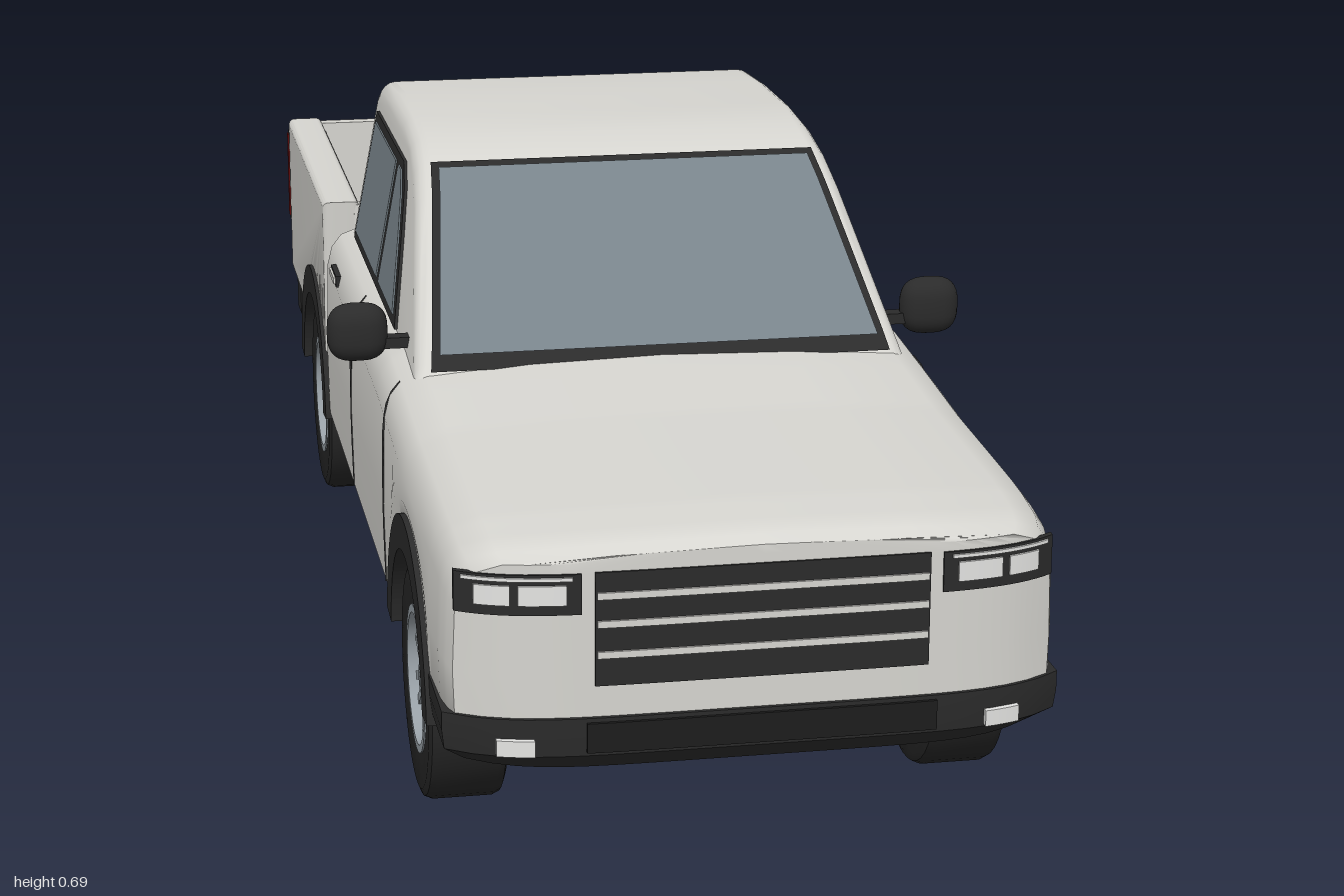
import * as THREE from 'three';
import { toCreasedNormals } from 'three/addons/utils/BufferGeometryUtils.js';

const mat = (name, color, side = THREE.FrontSide) =>
  Object.assign(new THREE.MeshStandardMaterial({ color, side }), { name });
const paint = mat('paint', 0xd6d5d0, THREE.DoubleSide);
const trim = mat('blackTrim', 0x2b2b2b);
const rubber = mat('rubber', 0x262626);
const under = mat('underbody', 0x1c1c1c);
const glass = mat('glass', 0x78838a, THREE.DoubleSide);
const steel = mat('steel', 0x98a0a6);
const lamp = mat('lampWhite', 0xe4e4e2);
const red = mat('tailRed', 0x8c1616);

const AXLES = [0.655, -0.55], HUB_Y = 0.145, ARCH_R = 0.19;
const V = (pts) => pts.map(([x, y]) => new THREE.Vector2(x, y));

function lerpTable(table, t) {
  for (let i = 1; i < table.length; i++) {
    const [a, u] = table[i - 1], [b, v] = table[i];
    if (t <= b) return u + (v - u) * Math.max(0, (t - a) / (b - a));
  }
  return table[table.length - 1][1];
}

// Moves every vertex of a geometry by a rule
function warp(geo, rule) {
  const p = geo.attributes.position, v = new THREE.Vector3();
  for (let i = 0; i < p.count; i++) {
    rule(v.fromBufferAttribute(p, i));
    p.setXYZ(i, v.x, v.y, v.z);
  }
  geo.computeVertexNormals();
  return geo;
}

// Skin over rows of points
function grid(rows, flip = false) {
  const n = rows[0].length, idx = [];
  for (let i = 0; i < rows.length - 1; i++) for (let j = 0; j < n - 1; j++) {
    const a = i * n + j, b = a + 1, d = a + n, c = d + 1;
    idx.push(...(flip ? [a, d, b, b, d, c] : [a, b, d, b, c, d]));
  }
  const g = new THREE.BufferGeometry();
  g.setAttribute('position', new THREE.Float32BufferAttribute(rows.flat(2), 3));
  g.setIndex(idx);
  return toCreasedNormals(g, 0.7);
}

// Side-view shape (z, y) extruded from x0 to x1
function sideExtrude(shape, x0, x1, bevel = 0) {
  const g = new THREE.ExtrudeGeometry(shape, {
    depth: x1 - x0 - 2 * bevel, bevelEnabled: bevel > 0, bevelSize: bevel, bevelThickness: bevel,
    bevelOffset: -bevel, bevelSegments: 4, curveSegments: 28,
  });
  return g.rotateY(-Math.PI / 2).translate(x1 - bevel, 0, 0);
}

const noseDrop = (x) => 0.05 * Math.pow(Math.min(1, Math.abs(x) / 0.355), 6);
const hoodTop = (z) => lerpTable([[-0.36, 0.46], [0.3, 0.46], [0.45, 0.45], [0.6, 0.438],
  [0.9, 0.427], [0.97, 0.42], [0.99, 0.414], [1, 0.405]], z);
const cabHalf = (y) => 0.315 - 0.19 * (y - 0.45);

// Half cross-section of the lower body at z, from the bottom centre up
function halfSection(z) {
  const dz = z - AXLES[0];
  const arch = Math.abs(dz) < ARCH_R ? HUB_Y + Math.sqrt(ARCH_R ** 2 - dz * dz) : 0;
  const B = Math.max(z > 0.84 ? 0.2 : 0.165, arch), T = hoodTop(z);
  const k = lerpTable([[0.85, 1], [0.96, 0.993], [0.99, 0.98], [1, 0.965]], z);
  return [[0, B], [0.345, B], [0.354, B + 0.01], [0.356, (B + T - 0.06) / 2], [0.353, T - 0.06],
    [0.346, T - 0.032], [0.332, T - 0.014], [0.3, T - 0.002], [0.17, T + 0.006], [0, T + 0.009]]
    .map(([x, y]) => [x * k, y]);
}

function bodyGeometries() {
  const N = 120, rows = [];
  const place = (x, y, z) => [x, y, z - noseDrop(x) * THREE.MathUtils.smoothstep(z, 0.75, 1)];
  for (let i = 0; i <= N; i++) {
    const z = -0.355 + 1.355 * i / N, h = halfSection(z);
    const ring = [...h, ...h.slice(0, -1).reverse().map(([x, y]) => [-x, y])];
    rows.push(ring.map(([x, y]) => place(x, y, z)));
  }
  const cap = (z) => halfSection(z).map(([x, y]) =>
    Array.from({ length: 25 }, (_, j) => place(x * (j / 12 - 1), y, z)));
  return [grid(rows), grid(cap(1)), grid(cap(-0.355), true)];
}

export function createModel() {
  const model = new THREE.Group();
  model.name = 'pickupTruck';
  const add = (name, geo, material, parent = model) => {
    const m = new THREE.Mesh(geo, material);
    m.name = name;
    parent.add(m);
    return m;
  };
  // Box given by its extents
  const box = (name, m, x0, x1, y0, y1, z0, z1) => add(name,
    new THREE.BoxGeometry(x1 - x0, y1 - y0, z1 - z0)
      .translate((x0 + x1) / 2, (y0 + y1) / 2, (z0 + z1) / 2), m);
  const boxPair = (name, m, x0, x1, ...r) => {
    box(name + 'Left', m, x0, x1, ...r);
    box(name + 'Right', m, -x1, -x0, ...r);
  };
  // Thin plate that follows the curved nose
  const nosePlate = (name, m, x0, x1, y0, y1, out) => add(name, warp(
    new THREE.BoxGeometry(x1 - x0, y1 - y0, 0.009, 12, 1, 1).translate((x0 + x1) / 2, (y0 + y1) / 2, 0),
    (v) => { v.z += 0.9955 + out - noseDrop(v.x); }), m);

  // Lower body and cab
  bodyGeometries().forEach((g, i) => add(['lowerBody', 'nose', 'bodyBack'][i], g, paint));
  const cabLine = [[0.43, 0.43], [0.4, 0.464], [0.27, 0.56], [0.18, 0.625], [0.12, 0.657],
    [0.05, 0.676], [-0.05, 0.685], [-0.2, 0.685], [-0.32, 0.678], [-0.345, 0.658], [-0.355, 0.43]];
  const cab = warp(sideExtrude(new THREE.Shape(V(cabLine)), -1, 1, 0.02), (v) => {
    v.x = Math.sign(v.x) * (cabHalf(v.y) - (1 - Math.abs(v.x)));
  });
  add('cab', toCreasedNormals(cab, 0.6), paint);

  // Windscreen
  const screen = (inset, lift, z0, z1) => {
    const line = [...cabLine].slice(0, 6).reverse();
    return grid(Array.from({ length: 13 }, (_, i) => {
      const z = z0 + (z1 - z0) * i / 12, y = lerpTable(line, z), w = cabHalf(y) - inset;
      return [-w, w].map((x) => [x, y + lift, z + lift * 0.7]);
    }));
  };
  add('windscreenFrame', screen(0.019, 0.003, 0.41, 0.122), trim);
  add('windscreen', screen(0.029, 0.006, 0.395, 0.135), glass);

  // Side windows
  const panes = [
    ['windowFrame', trim, 0.003, [[0.205, 0.455], [0.13, 0.56], [0.085, 0.615], [0.04, 0.642], [-0.29, 0.642], [-0.3, 0.455]]],
    ['frontDoorGlass', glass, 0.005, [[0.175, 0.468], [0.11, 0.56], [0.07, 0.608], [0.033, 0.63], [0.005, 0.63], [0.005, 0.468]]],
    ['rearDoorGlass', glass, 0.005, [[-0.02, 0.468], [-0.02, 0.63], [-0.275, 0.63], [-0.285, 0.468]]],
  ];
  for (const [name, m, out, pts] of panes) for (const s of [1, -1]) {
    add(name, warp(sideExtrude(new THREE.Shape(V(pts)), -0.002, 0.002), (v) => {
      v.x += s * (cabHalf(v.y) + out - 0.001);
    }), m);
  }

  // Rear window
  const rear = new THREE.Group();
  rear.name = 'rearWindow';
  rear.position.set(0, 0.58, -0.35);
  rear.rotation.x = 0.044;
  model.add(rear);
  add('rearFrame', new THREE.BoxGeometry(0.47, 0.115, 0.008), trim, rear);
  add('rearGlass', new THREE.BoxGeometry(0.43, 0.085, 0.008).translate(0, 0, -0.003), glass, rear);

  // Grille, lamps and bumper
  nosePlate('grille', trim, -0.19, 0.19, 0.26, 0.393, 0.003);
  for (const y of [0.297, 0.333, 0.366]) nosePlate('grilleBar', paint, -0.188, 0.188, y - 0.004, y + 0.004, 0.006);
  for (const s of [1, -1]) {
    const plate = (name, m, a, b, ...r) => nosePlate(name, m, Math.min(s * a, s * b), Math.max(s * a, s * b), ...r);
    plate('headlampHousing', trim, 0.205, 0.342, 0.345, 0.392, 0.003);
    plate('innerLamp', lamp, 0.222, 0.275, 0.357, 0.38, 0.006);
    plate('outerLamp', lamp, 0.284, 0.322, 0.357, 0.38, 0.006);
    plate('lampStrip', lamp, 0.215, 0.335, 0.385, 0.389, 0.006);
    plate('fogLamp', lamp, 0.258, 0.3, 0.181, 0.2, 0.012);
  }
  add('frontBumper', toCreasedNormals(warp(new THREE.BoxGeometry(0.712, 0.068, 0.165, 24, 3, 3).translate(0, 0.189, 0.9225), (v) => {
    const low = Math.max(0, (0.18 - v.y) / 0.025);
    if (v.z > 0.85) v.z -= noseDrop(v.x) + 0.025 * low;
    v.x *= 1 - 0.08 * low;
  }), 0.6), trim);
  nosePlate('lowerIntake', under, -0.2, 0.2, 0.183, 0.218, 0.009);
  box('skidPlate', trim, -0.225, 0.225, 0.113, 0.136, 0.79, 0.85);
  box('skidCentre', trim, -0.06, 0.06, 0.104, 0.114, 0.79, 0.84);

  // Wheel arches and wheels
  for (const z of AXLES) {
    const ring = new THREE.Shape();
    ring.absarc(z, HUB_Y, 0.2, 0.1, Math.PI - 0.1, false);
    ring.absarc(z, HUB_Y, 0.157, Math.PI - 0.1, 0.1, true);
    const core = new THREE.Shape();
    core.absarc(z, HUB_Y, 0.191, 0, Math.PI, false);
    add('wheelWell', sideExtrude(core, -0.24, 0.24).scale(1, z > 0 ? 1 : 0.5, 1).translate(0, z > 0 ? 0 : 0.07, 0), under);
    for (const s of [1, -1]) {
      add('archFlare', s > 0 ? sideExtrude(ring, 0.235, 0.361) : sideExtrude(ring, -0.361, -0.235), trim);
      const wheel = new THREE.Group();
      wheel.name = 'wheel';
      wheel.position.set(s * 0.303, HUB_Y, z);
      if (s < 0) wheel.rotation.y = Math.PI;
      model.add(wheel);
      const turned = (name, pts, m) => add(name,
        toCreasedNormals(new THREE.LatheGeometry(V(pts), 40), 0.6).rotateZ(-Math.PI / 2), m, wheel);
      turned('tyre', [[0.089, -0.045], [0.132, -0.0475], [0.141, -0.044], [0.145, -0.035], [0.145, 0.035],
        [0.141, 0.044], [0.132, 0.0475], [0.089, 0.045], [0.089, -0.045]], rubber);
      turned('rim', [[0.079, -0.04], [0.09, -0.043], [0.09, 0.047], [0.08, 0.047], [0.078, 0.03], [0.079, -0.04]], steel);
      turned('brakeDisc', [[0, -0.02], [0.08, -0.02], [0.08, 0.018], [0, 0.018]], trim);
      turned('hub', [[0.026, 0.01], [0.026, 0.036], [0.018, 0.041], [0, 0.041]], steel);
      for (let i = 0; i < 6; i++) for (const side of [-1, 1]) {
        add('spoke', new THREE.BoxGeometry(0.014, 0.066, 0.011)
          .rotateX(side * 0.16).translate(0.03, 0.05, side * 0.011).rotateX(i * Math.PI / 3), steel, wheel);
      }
    }
    box('axle', under, -0.26, 0.26, 0.13, 0.16, z - 0.015, z + 0.015);
  }

  // Cargo bed
  const side = new THREE.Shape().moveTo(-0.372, 0.24);
  side.absarc(AXLES[1], HUB_Y, ARCH_R, Math.PI / 6, Math.PI * 5 / 6, false);
  side.lineTo(-0.967, 0.24).lineTo(-0.967, 0.49).lineTo(-0.372, 0.49);
  for (const s of [1, -1]) {
    add('bedSide', toCreasedNormals(s > 0 ? sideExtrude(side, 0.302, 0.356, 0.009) : sideExtrude(side, -0.356, -0.302, 0.009), 0.6), paint);
  }
  boxPair('bedLiner', trim, 0.297, 0.303, 0.26, 0.472, -0.95, -0.39);
  box('bedFront', paint, -0.31, 0.31, 0.24, 0.485, -0.396, -0.373);
  box('bedFrontLiner', trim, -0.3, 0.3, 0.26, 0.472, -0.401, -0.395);
  box('bedFloor', trim, -0.305, 0.305, 0.247, 0.272, -0.955, -0.38);
  box('bedUnderside', steel, -0.305, 0.305, 0.24, 0.247, -0.955, -0.38);
  box('tailgate', paint, -0.312, 0.312, 0.24, 0.485, -0.97, -0.948);
  box('tailgateHandle', trim, -0.045, 0.045, 0.449, 0.46, -0.973, -0.969);
  boxPair('tailgateSeam', steel, 0.262, 0.265, 0.27, 0.435, -0.972, -0.969);
  box('tailgateCrease', steel, -0.265, 0.265, 0.434, 0.437, -0.972, -0.969);

  // Tail lamps and rear bumper
  boxPair('tailLampHousing', trim, 0.317, 0.3565, 0.325, 0.472, -0.971, -0.955);
  boxPair('tailLamp', red, 0.321, 0.358, 0.331, 0.466, -0.974, -0.958);
  boxPair('reverseLamp', lamp, 0.33, 0.345, 0.388, 0.41, -0.976, -0.972);
  box('rearBumper', trim, -0.345, 0.345, 0.167, 0.232, -1, -0.94);

  // Underbody and frame
  box('floorPan', under, -0.335, 0.335, 0.132, 0.17, -0.355, 0.465);
  box('engineTray', under, -0.235, 0.235, 0.135, 0.2, 0.46, 0.88);
  boxPair('frameRail', trim, 0.17, 0.22, 0.132, 0.215, -0.92, -0.34);
  boxPair('railMount', trim, 0.18, 0.21, 0.2, 0.24, -0.95, -0.36);
  for (const z of [-0.42, -0.68, -0.86]) box('crossMember', trim, -0.2, 0.2, 0.16, 0.205, z - 0.02, z + 0.02);
  box('exhaustBox', trim, -0.19, -0.07, 0.118, 0.15, -0.4, -0.13);
  box('hitch', trim, -0.05, 0.05, 0.15, 0.19, -0.96, -0.86);
  boxPair('floorRib', trim, 0.14, 0.16, 0.127, 0.134, -0.33, 0.44);

  // Door seams, handles and mirrors
  for (const s of [1, -1]) {
    for (const z of [0.39, -0.005]) {
      const path = halfSection(z).slice(2, 7).map(([x, y]) => new THREE.Vector3(s * x, y, z));
      add('doorSeam', new THREE.TubeGeometry(new THREE.CatmullRomCurve3(path), 16, 0.0015, 5), trim);
    }
    for (const z of [0.065, -0.24]) {
      const m = add('doorHandleSurround', new THREE.BoxGeometry(0.008, 0.016, 0.07), trim);
      m.position.set(s * 0.351, 0.414, z);
      const h = add('doorHandle', new THREE.BoxGeometry(0.008, 0.009, 0.06), z > 0 ? trim : paint);
      h.position.set(s * 0.354, 0.414, z);
    }
    const mirror = new THREE.Group();
    mirror.name = 'doorMirror';
    mirror.position.set(s * 0.376, 0.482, 0.3);
    model.add(mirror);
    const soft = (c) => Math.sign(c) * Math.pow(Math.abs(c), 0.7);
    add('mirrorShell', warp(new THREE.SphereGeometry(1, 24, 16), (v) => {
      v.set(0.039 * soft(v.x), 0.038 * soft(v.y), v.z * (v.z > 0 ? 0.026 : 0.016));
    }), trim, mirror);
    add('mirrorGlass', new THREE.BoxGeometry(0.052, 0.048, 0.006).translate(0, 0, -0.015), lamp, mirror);
    add('mirrorArm', new THREE.BoxGeometry(0.07, 0.014, 0.022).translate(-s * 0.05, -0.015, 0), trim, mirror);
  }
  return model;
}
